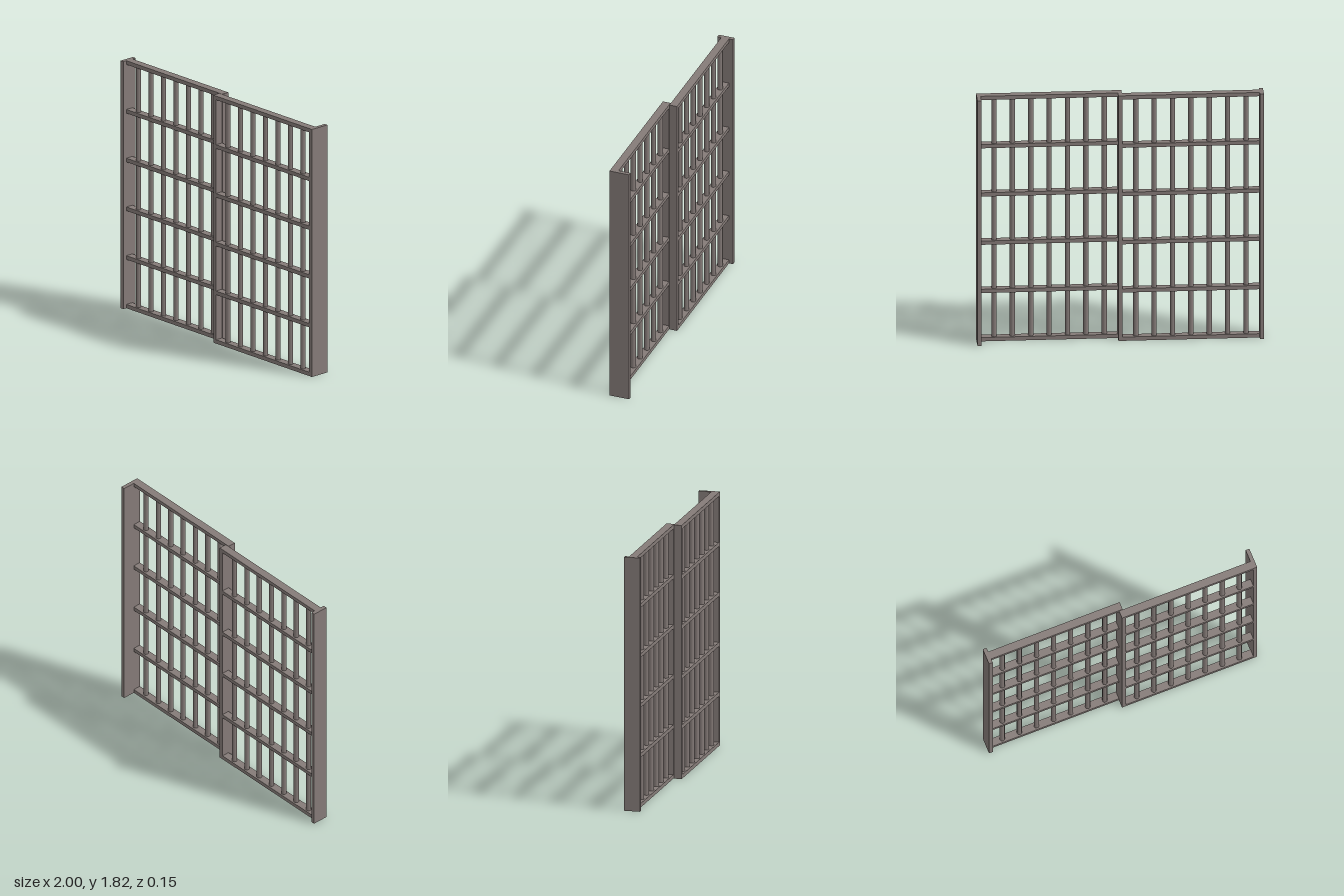
import * as THREE from 'three';

const H = 1.82, T = 0.028, DEPTH = 0.057;

export function createModel() {
  const model = new THREE.Group();
  model.name = 'slidingBarGate';
  const metal = new THREE.MeshStandardMaterial({ color: 0x857b78 });
  metal.name = 'warm grey metal';

  const addBox = (parent, name, x0, x1, y0, y1, z0, z1) => {
    const mesh = new THREE.Mesh(new THREE.BoxGeometry(x1 - x0, y1 - y0, z1 - z0), metal);
    mesh.position.set((x0 + x1) / 2, (y0 + y1) / 2, (z0 + z1) / 2);
    mesh.name = name;
    parent.add(mesh);
  };

  // One gate leaf: outer post, meeting post, six rails and seven round bars
  const addLeaf = (name, side, z, postBack, postFront, firstBar) => {
    const leaf = new THREE.Group();
    leaf.name = name;
    const z0 = z - DEPTH / 2, z1 = z + DEPTH / 2;
    const left = side < 0 ? -1 + T : T / 2;
    const right = side < 0 ? -T / 2 : 1 - T;

    const outer = side < 0 ? -1 : 1 - T;
    addBox(leaf, 'outerPost', outer, outer + T, 0, H, postBack, postFront);
    addBox(leaf, 'meetingPost', -T / 2, T / 2, 0, H, z0, z1);

    for (let i = 0; i < 6; i++) {
      const y = i * (H - T) / 5;
      addBox(leaf, 'rail', left, right, y, y + T, z0, z1);
    }

    const barGeometry = new THREE.CylinderGeometry(0.0185, 0.0185, H - 2 * T, 12, 1, true);
    for (let i = 0; i < 7; i++) {
      const bar = new THREE.Mesh(barGeometry, metal);
      bar.name = 'bar';
      bar.position.set(firstBar + i * 0.1283, H / 2, z);
      leaf.add(bar);
    }
    model.add(leaf);
  };

  addLeaf('rearLeaf', -1, -0.0145, -0.0735, 0.043, -0.878);
  addLeaf('frontLeaf', 1, 0.045, -0.0735, 0.0735, 0.107);
  return model;
}
